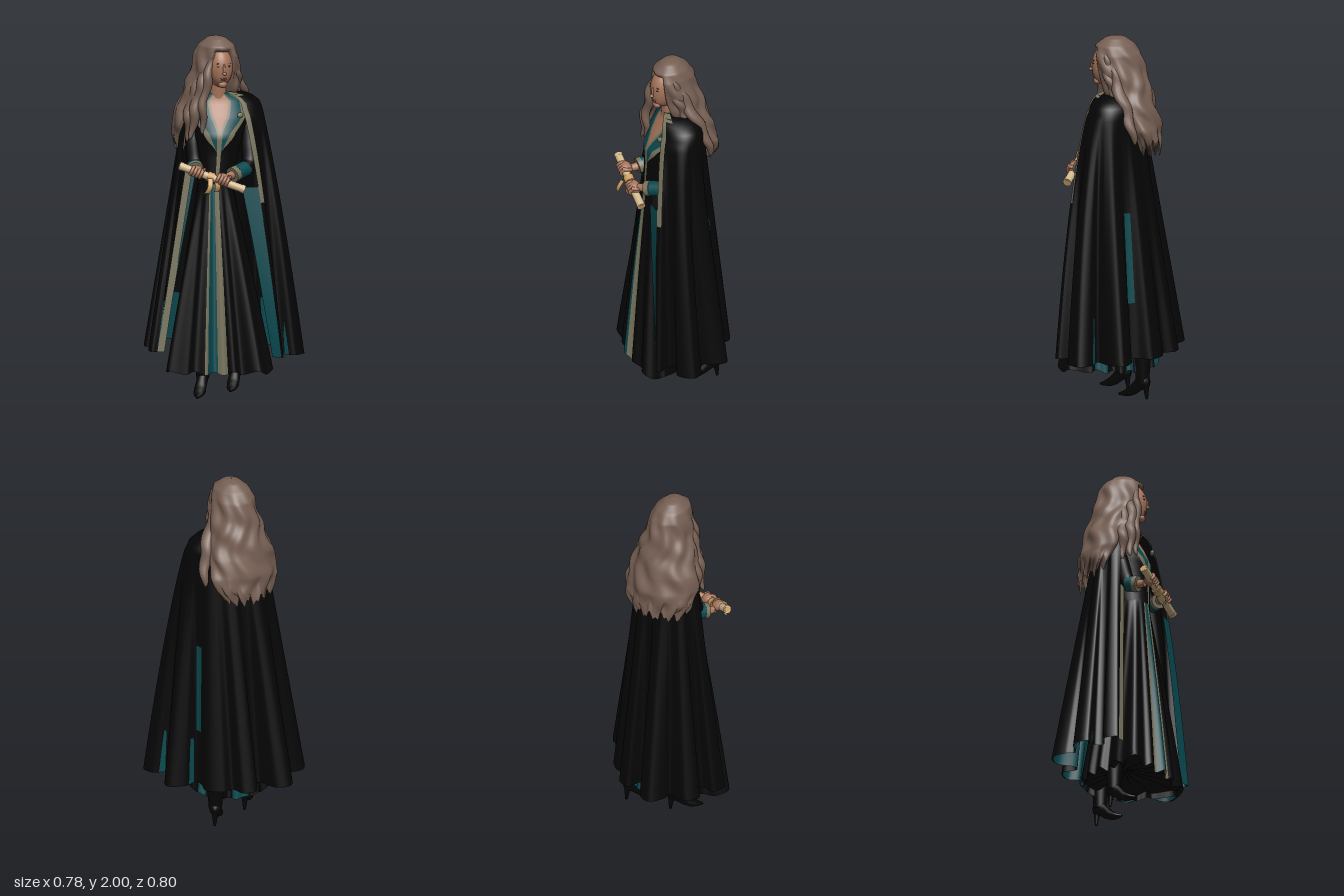
import * as THREE from 'three';
import { mergeVertices } from 'three/addons/utils/BufferGeometryUtils.js';

const mat = (name, color) => new THREE.MeshStandardMaterial({ name, color, side: THREE.DoubleSide });
const V = (x, y, z) => new THREE.Vector3(x, y, z);
const lerp = THREE.MathUtils.lerp, smooth = THREE.MathUtils.smoothstep, clamp = THREE.MathUtils.clamp;
const rad = THREE.MathUtils.degToRad;
const TURN = 0.61; // the body is turned towards its right

// Smooth surface from a rule p(s, t) with s and t in 0..1
function grid(p, ns, nt) {
  const pos = [], idx = [];
  for (let j = 0; j <= nt; j++) for (let i = 0; i <= ns; i++) pos.push(...p(i / ns, j / nt));
  for (let j = 0; j < nt; j++) for (let i = 0; i < ns; i++) {
    const a = j * (ns + 1) + i, b = a + 1, c = a + ns + 1, d = c + 1;
    idx.push(a, c, b, b, c, d);
  }
  let g = new THREE.BufferGeometry();
  g.setAttribute('position', new THREE.Float32BufferAttribute(pos, 3));
  g.setIndex(idx);
  g = mergeVertices(g, 1e-5);
  g.computeVertexNormals();
  return g;
}

// Interpolates rows [y, a, b, ...] listed from high y to low y
function table(rows, y) {
  let k = 0;
  while (k < rows.length - 2 && y < rows[k + 1][0]) k++;
  const a = rows[k], b = rows[k + 1], t = clamp((a[0] - y) / (a[0] - b[0]), 0, 1);
  return a.map((v, i) => lerp(v, b[i], t));
}

export function createModel() {
  const black = mat('black cloth', 0x050505), teal = mat('teal cloth', 0x084a50), khaki = mat('khaki trim', 0x77735c);
  const brown = mat('brown hair', 0x765f53), skin = mat('skin', 0xa6745b), paper = mat('parchment', 0xd2b78c);
  const tan = mat('tan ribbon', 0xcf9f62), rose = mat('lips', 0x8c5145), dark = mat('eye and brow', 0x3a2b25);
  const root = new THREE.Group();
  root.name = 'cloakedWoman';
  const add = (name, geo, m, parent = root) => {
    const mesh = new THREE.Mesh(geo, m);
    mesh.name = name;
    parent.add(mesh);
    return mesh;
  };
  const ball = (name, m, p, s, parent = root) => {
    const b = add(name, new THREE.SphereGeometry(1, 20, 14), m, parent);
    b.position.set(...p);
    b.scale.set(...s);
    return b;
  };
  const tube = (name, m, pts, r, parent = root) => add(name,
    new THREE.TubeGeometry(new THREE.CatmullRomCurve3(pts.map(q => V(...q))), 20, r, 12), m, parent);
  const rod = (name, m, a, b, r0, r1, parent = root) => {
    const A = V(...a), B = V(...b), o = add(name, new THREE.CylinderGeometry(r1, r0, A.distanceTo(B), 24), m, parent);
    o.position.copy(A).lerp(B, 0.5);
    o.quaternion.setFromUnitVectors(V(0, 1, 0), B.sub(A).normalize());
    return o;
  };
  // Rotates a point of the body's own plan into the turned stance
  const turned = (x, z) => [x * Math.cos(TURN) - z * Math.sin(TURN), x * Math.sin(TURN) + z * Math.cos(TURN)];

  // Cloak: deep folds at the hem fade into the shoulders
  const hem = [[-.36, -.085], [-.39, -.1], [-.35, -.17], [-.28, -.155], [-.265, -.2], [-.31, -.25], [-.25, -.315], [-.15, -.29],
    [-.135, -.34], [-.07, -.4], [0, -.36], [.02, -.25], [.05, -.24], [.1, -.31], [.17, -.27], [.175, -.2], [.23, -.18],
    [.285, -.1], [.25, -.03], [.245, .015], [.32, .026], [.39, .1], [.33, .17], [.265, .205], [.33, .27], [.33, .34], [.24, .37],
    [.19, .31], [.15, .31], [.14, .39], [.12, .4]];
  const hemCurve = new THREE.CatmullRomCurve3(hem.map(([x, z]) => V(x, 0, z)));
  const cape = (u, v, k = 1) => {
    const a = rad(lerp(187, 457, u));
    let [sx, sz] = turned(.218 * Math.cos(a - TURN), .14 * Math.sin(a - TURN));
    sx += .012;
    sz += .02;
    if (v < .08) {
      const q = v / .08 * Math.PI / 2, m = Math.sin(q);
      return [lerp(-.01 + .07 * Math.cos(a), sx, m) * k, 1.69 - .09 * (1 - Math.cos(q)), lerp(.01 + .07 * Math.sin(a), sz, m) * k];
    }
    const t = (v - .08) / .92, h = hemCurve.getPoint(u), z = lerp(sz, h.z, t);
    const swell = z > 0 ? 1 + .13 * Math.sin(Math.PI * Math.sqrt(t)) : 1;
    return [lerp(sx, h.x, t) * k, lerp(1.6, .25 - .04 * h.x, t), z * swell * k];
  };
  const capePart = (name, m, u0, u1, v0, v1, k, ns) =>
    add(name, grid((s, t) => cape(lerp(u0, u1, s), lerp(v0, v1, t), k), ns, Math.ceil(50 * (v1 - v0))), m);
  capePart('cloak', black, 0, .965, 0, 1, 1, 230);
  capePart('cloakCollar', khaki, .9, 1, 0, .03, 1.012, 12);
  capePart('cloakFrontTrim', khaki, .965, 1, 0, .42, 1, 8);
  capePart('cloakFrontEdge', black, .965, 1, .42, 1, 1, 8);
  capePart('cloakLining', teal, 0, 1, .82, 1, .983, 230);
  capePart('cloakSlit', teal, .6, .63, .45, .79, 1.014, 5);
  // Turned-back lining along both front edges
  const flap = (name, m, u, v0, v1, x0, x1, dz) => add(name, grid((s, t) => {
    const v = lerp(v0, v1, t), p = cape(u, v);
    return [p[0] + lerp(x0(t), x1(t), s), p[1], p[2] + dz * s];
  }, 3, 30), m);
  flap('leftCloakFacing', teal, 1, .36, 1, () => 0, t => -.075 + .05 * t, -.05);
  flap('rightCloakTrim', khaki, 0, .3, 1, t => .035 * (1 - t), t => .06 - .035 * t, .03);
  flap('rightCloakFacing', teal, 0, .3, .8, t => .06 - .03 * t, t => .09 - .055 * t, .03);

  // Skirt in angular panels: flat across the front, with a bold fold at each cloak edge
  const skirt = (deg, t, k = 1) => {
    const a = rad(deg), f = smooth(Math.cos(a - rad(130)), .1, .5), w = Math.cos(a * 16);
    const fold = c => .085 * Math.exp(25 * (Math.cos(a - rad(c)) - 1));
    const r = lerp(.22, .265, f) + lerp(.012, .016, f) * w + fold(79) + fold(183), e = t * (1.1 - .1 * t);
    return [lerp(-.06, 0, t) + lerp(.095, r, e) * Math.cos(a) * k, lerp(1.22, .162 + .012 * w, t), lerp(.05, .01, t) + lerp(.09, r, e) * Math.sin(a) * k];
  };
  const panel = (name, m, a, b, t0, t1, k) =>
    add(name, grid((s, t) => skirt(lerp(a, b, s), lerp(t0, t1, t), k), Math.ceil((b - a) / 2), 24), m);
  [[-212, 119, black], [119, 131, khaki], [131, 143.5, teal], [143.5, 148, khaki]].forEach(([a, b, m]) =>
    panel('skirtPanel', m, a, b, 0, 1, 1));
  for (const [a, b] of [[-75, -50], [-8, 4], [30, 48]]) panel('skirtHemLining', teal, a, b, .93, 1, 1.012);
  // Dark petticoat closing the skirt from below
  add('petticoat', grid((s, t) => {
    const p = skirt(s * 360, .97, (1 - t) * .98);
    return [p[0], p[1] + .06 * t, p[2]];
  }, 180, 6), black);

  // Bodice split into neckline, trims, lapels and dark sides
  const torso = [[1.69, .045, .045, -.015, .015], [1.64, .13, .06, -.01, .015], [1.56, .165, .095, -.015, .025],
    [1.46, .14, .125, -.03, .035], [1.36, .12, .112, -.04, .04], [1.2, .1, .097, -.06, .05]];
  const body = (a, y) => {
    const [, rx, rz, cx, cz] = table(torso, y), [x, z] = turned(rx * Math.sin(a), rz * Math.cos(a));
    return [cx + x, y, cz + z];
  };
  const vee = y => clamp((y - 1.48) / .16, 0, 1) * .42;
  const trim = y => vee(y) + lerp(.09, .1, smooth(y, 1.36, 1.48));
  const lapel = y => trim(y) + clamp((y - 1.37) / .17, 0, 1) * .5;
  const outer = y => lapel(y) + smooth(y, 1.38, 1.46) * .24;
  const bands = [() => 0, vee, trim, lapel, outer, () => Math.PI];
  [['neckline', skin], ['necklineTrim', khaki], ['lapel', teal], ['lapelTrim', khaki], ['bodice', black]].forEach(([name, m], i) => {
    for (const side of [-1, 1]) add(name, grid((s, t) => {
      const y = lerp(1.69, 1.2, t);
      return body(side * lerp(bands[i](y), bands[i + 1](y), s), y);
    }, 12, 30), m);
  });
  ball('cloakClasp', khaki, [.012, 1.575, .175], [.02, .016, .012]);

  // Sleeves, cuffs and hands
  tube('leftSleeve', black, [[.12, 1.56, .1], [.1, 1.4, .14], [.08, 1.3, .17], [.04, 1.275, .185]], .043);
  rod('leftLowerSleeve', teal, [.05, 1.278, .182], [-.035, 1.262, .196], .042, .042);
  rod('leftCuff', khaki, [-.035, 1.262, .196], [-.065, 1.255, .2], .043, .043);
  rod('leftWrist', skin, [-.05, 1.26, .198], [-.11, 1.25, .205], .024, .02);
  tube('rightSleeve', black, [[-.13, 1.55, -.06], [-.155, 1.42, -.03], [-.165, 1.31, 0], [-.175, 1.285, .02]], .042);
  rod('rightLowerSleeve', teal, [-.165, 1.295, 0], [-.19, 1.285, .035], .043, .043);
  rod('rightCuff', khaki, [-.19, 1.285, .035], [-.205, 1.28, .055], .044, .044);
  rod('rightWrist', skin, [-.2, 1.28, .05], [-.23, 1.275, .085], .024, .02);
  const hand = (name, p, axis) => {
    const g = new THREE.Group();
    g.name = name;
    g.position.set(...p);
    g.quaternion.setFromUnitVectors(V(1, 0, 0), axis);
    root.add(g);
    ball('palm', skin, [0, .006, 0], [.045, .03, .035], g);
    for (let i = 0; i < 4; i++) {
      const x = -.028 + i * .018;
      tube('finger', skin, [[x, .02, -.01], [x, .018, .024], [x - .003, -.006, .034], [x - .004, -.026, .02]], .0095, g);
    }
    tube('thumb', skin, [[.028, .018, -.02], [.032, .026, .01], [.02, .022, .03]], .01, g);
  };

  // Rolled scroll with a tied ribbon
  const s0 = V(-.325, 1.32, .06), s1 = V(-.045, 1.185, .28), axis = s1.clone().sub(s0).normalize();
  const at = t => s0.clone().lerp(s1, t).toArray();
  rod('scroll', paper, at(0), at(1), .022, .022);
  for (const [a, b] of [[0, .05], [.95, 1]]) rod('scrollRolledEnd', paper, at(a), at(b), .0235, .0235);
  for (const [a, b] of [[-.004, 0], [1, 1.004]]) rod('scrollCore', tan, at(a), at(b), .016, .016);
  rod('ribbonBand', tan, at(.43), at(.53), .028, .028);
  for (const d of [-.03, .006]) add('ribbonTail', grid((s, t) =>
    [-.2 + d * (1 + t) + .026 * s, 1.255 - .08 * t, .188 + .02 * Math.sin(t * 3) + .012 * s], 2, 8), tan);
  hand('leftHand', [-.135, 1.24, .205], axis);
  hand('rightHand', [-.245, 1.283, .115], axis);

  // Head and face
  const head = new THREE.Group();
  head.name = 'head';
  head.position.set(-.03, 1.835, .045);
  head.rotation.y = -.38;
  root.add(head);
  const skull = new THREE.SphereGeometry(1, 40, 30), sp = skull.attributes.position;
  for (let i = 0; i < sp.count; i++) {
    const x = sp.getX(i), y = sp.getY(i), z = sp.getZ(i), k = Math.max(0, -y);
    sp.setXYZ(i, x * .074 * (1 - .15 * k * k), y * .115, z * .092 * (z > 0 ? 1 + .28 * k * k : 1));
  }
  skull.computeVertexNormals();
  add('face', skull, skin, head);
  ball('noseBridge', skin, [0, -.004, .088], [.008, .032, .011], head);
  ball('noseTip', skin, [0, -.026, .097], [.011, .009, .012], head);
  for (const s of [-1, 1]) {
    ball('eye', dark, [s * .028, .012, .082], [.011, .0042, .004], head);
    ball('eyebrow', dark, [s * .029, .029, .08], [.015, .0022, .004], head).rotation.z = -s * .12;
  }
  ball('upperLip', rose, [0, -.055, .084], [.019, .0042, .006], head);
  ball('lowerLip', rose, [0, -.063, .083], [.015, .005, .006], head);
  ball('chin', skin, [0, -.09, .063], [.026, .021, .02], head);
  rod('neck', skin, [-.015, 1.6, .015], [-.025, 1.77, .03], .05, .042);

  // Hair mass, hollowed around the face and rippled in waves
  const hairRows = [[2, -.02, .01, .001, .001], [1.99, -.02, .01, .045, .055], [1.95, -.02, .01, .09, .108], [1.9, -.015, 0, .108, .132],
    [1.8, -.01, -.015, .13, .142], [1.7, -.008, -.045, .162, .14], [1.6, -.005, -.075, .2, .142], [1.5, .003, -.105, .22, .132],
    [1.42, .005, -.13, .2, .105], [1.35, 0, -.15, .14, .085]];
  add('hair', grid((s, t) => {
    const y = lerp(2, 1.36, Math.pow(t, 1.25)), [, cx, cz, rx, rz] = table(hairRows, y);
    const low = 1 - smooth(y, 1.55, 1.76), d = (s - .5) * 2 * Math.PI, a = d - .38;
    const open = 1 - smooth(Math.abs(d), lerp(.4, .6, low), lerp(.58, .95, low));
    const dent = 1 - .55 * open * (1 - smooth(y, 1.885, 1.945)) - .13 * low * Math.exp(5 * (Math.cos(a - 2.2) - 1));
    const wave = smooth(t, .03, .4) * (.0055 * Math.sin(d * 9 + 2 * Math.sin(y * 20)) + .005 * Math.sin(y * 40 + d * 3));
    const ragged = smooth(t, .8, 1) * (.02 * Math.sin(d * 13) + .014 * Math.sin(d * 29));
    return [cx + (rx * dent + wave) * Math.sin(a), y + ragged, cz + (rz * dent + wave) * Math.cos(a)];
  }, 160, 70), brown);
  // Loose wavy locks either side of the face
  const lock = (pts, r) => {
    const c = new THREE.CatmullRomCurve3(pts.map(q => V(...q)));
    add('hairLock', grid((s, t) => {
      const p = c.getPoint(t), a = s * 2 * Math.PI, w = r * Math.sqrt(Math.max(0, Math.sin(Math.PI * (.06 + .94 * t)))) + 1e-4;
      return [p.x + w * Math.cos(a) + .007 * Math.sin(t * 17), p.y, p.z + w * Math.sin(a) + .005 * Math.cos(t * 17)];
    }, 14, 36), brown);
  };
  lock([[-.09, 1.92, .06], [-.122, 1.78, .06], [-.15, 1.62, .05], [-.15, 1.47, .055]], .026);
  lock([[-.09, 1.89, .03], [-.135, 1.74, .025], [-.175, 1.6, .015], [-.2, 1.44, .01]], .032);
  lock([[-.09, 1.87, 0], [-.14, 1.7, -.02], [-.18, 1.56, -.03], [-.185, 1.42, -.03]], .034);
  lock([[.045, 1.91, .08], [.062, 1.8, .075], [.085, 1.7, .05], [.1, 1.63, .02]], .03);
  lock([[.06, 1.86, .05], [.12, 1.72, .035], [.185, 1.58, .005], [.222, 1.43, -.025]], .036);

  // Heeled ankle boots
  const bootRows = [[.135, .004, 0, .012], [.1, .026, 0, .03], [.06, .034, .002, .06], [.02, .03, .02, .105], [-.02, .032, .05, .15], [-.055, .026, .06, .13], [-.065, .002, .085, .1]];
  const boot = (name, x, z) => {
    const g = new THREE.Group();
    g.name = name;
    g.position.set(x, 0, z);
    g.rotation.y = -.9;
    root.add(g);
    add('shoe', grid((s, t) => {
      const q = lerp(.135, -.065, t), [, w, y0, y1] = table(bootRows, q), a = s * 2 * Math.PI;
      return [w * Math.cos(a), (y0 + y1) / 2 + (y1 - y0) / 2 * Math.sin(a), q];
    }, 20, 24), black, g);
    rod('shaft', black, [0, .09, -.02], [0, .4, -.02], .036, .058, g);
    rod('heel', black, [0, 0, -.048], [0, .09, -.042], .007, .02, g);
  };
  boot('rightBoot', -.08, -.04);
  boot('leftBoot', .175, -.065);
  return root;
}
